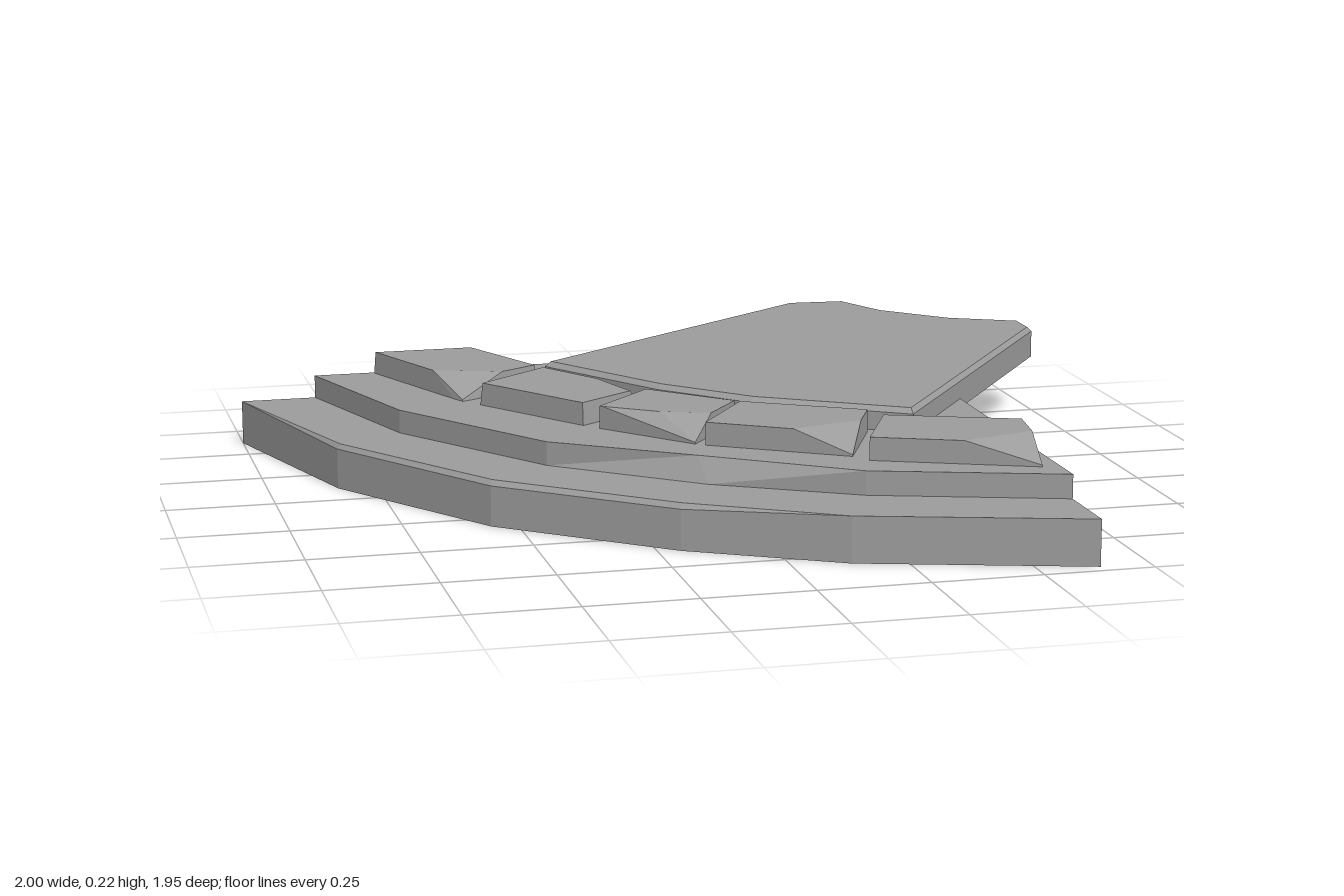
import * as THREE from 'three';
import { ConvexGeometry } from 'three/addons/geometries/ConvexGeometry.js';

const V = (x, y, z) => new THREE.Vector3(x, y, z);
const atHeight = (outline, y) => outline.map(([x, z]) => V(x, y, z));

// Triangle soup with flat normals
function soup(tris) {
  const geometry = new THREE.BufferGeometry().setFromPoints(tris);
  geometry.computeVertexNormals();
  return geometry;
}

// Faces joining one outline to the next, optionally closed into a loop
function strips(rows, closed) {
  const out = [];
  for (let k = 0; k < rows.length - 1; k++) {
    const a = rows[k], b = rows[k + 1], n = a.length;
    for (let i = 0; i < (closed ? n : n - 1); i++) {
      const j = (i + 1) % n;
      out.push(a[i], a[j], b[j], a[i], b[j], b[i]);
    }
  }
  return out;
}

// Flat polygon, counterclockwise in the given 2D projection
function cap(points, project) {
  const flat = points.map((p) => new THREE.Vector2(...project(p)));
  return THREE.ShapeUtils.triangulateShape(flat, []).flat().map((i) => points[i]);
}
const fromAbove = (p) => [p.x, -p.z];

// Outline scaled about a centre point
const shrink = (outline, [cx, cz], s) => outline.map(([x, z]) => [cx + (x - cx) * s, cz + (z - cz) * s]);

// Four-cornered stone with one corner of its top broken down
function stoneGeometry({ corners, chip, cuts, taper = 1, ridge = [] }) {
  const centre = [0, 1].map((axis) => corners.reduce((sum, c) => sum + c[axis] / 4, 0));
  const top = atHeight(shrink(corners, centre, taper), 0.213);
  const points = [...atHeight(corners, 0.137), ...atHeight(ridge, 0.213)];
  top.forEach((p, i) => {
    if (i !== chip) return points.push(p);
    points.push(p.clone().lerp(top[(i + 3) % 4], cuts[0]));
    points.push(p.clone().lerp(top[(i + 1) % 4], cuts[1]));
    points.push(p.clone().setY(0.164));
  });
  return new ConvexGeometry(points);
}

export function createModel() {
  const model = new THREE.Group();
  const stone = new THREE.MeshStandardMaterial({ color: 0x9c9c9c, flatShading: true });
  const shell = stone.clone();
  shell.side = THREE.DoubleSide;
  const add = (name, geometry, material = stone) => {
    const mesh = new THREE.Mesh(geometry, material);
    mesh.name = name;
    model.add(mesh);
  };

  // Two stepped risers, left end to right end, hollow underneath, with worn edges
  const outer = [[-1, -0.62], [-0.84, -0.11], [-0.56, 0.32], [-0.2, 0.625], [0.13, 0.815], [0.637, 0.97]];
  const outerWorn = [[-1, -0.62], [-0.832, -0.113], [-0.553, 0.312], [-0.195, 0.616], [0.13, 0.815], [0.637, 0.97]];
  const inner = [[-0.82, -0.62], [-0.68, -0.19], [-0.41, 0.21], [-0.1, 0.47], [0.21, 0.65], [0.637, 0.79]];
  const innerWorn = inner.map((p, i) => (i === 3 ? [-0.11, 0.42] : p));
  const lip = [0.105, 0.094, 0.093, 0.093, 0.105, 0.105];
  const rows = [
    atHeight(outer, 0),
    outer.map(([x, z], i) => V(x, lip[i], z)),
    atHeight(outerWorn, 0.105),
    atHeight(inner, 0.105),
    atHeight(innerWorn, 0.16),
  ];
  const cornerTop = V(0.637, 0.16, -0.62), cornerBottom = V(0.637, 0, -0.62);
  add('steps', soup(strips(rows, false)), shell);
  add('upperTread', soup(cap([...rows[4], cornerTop], fromAbove)), shell);

  // Straight walls that meet at the back corner
  const profile = (end) => [0, 2, 3, 4].map((k) => rows[k][end]).concat(cornerTop, cornerBottom);
  add('backWall', soup(cap(profile(0), (p) => [-p.x, p.y])), shell);
  add('sideWall', soup(cap(profile(5).reverse(), (p) => [-p.z, p.y])), shell);

  // Slab with a notched far end and a chamfered top edge
  const slab = [[-0.29, -0.39], [-0.085, -0.07], [0.095, 0.12], [0.42, 0.325], [1, -0.51],
    [1, -0.595], [0.84, -0.675], [0.695, -0.82], [0.63, -0.965], [0.49, -0.975]];
  const inset = shrink(slab, [0.4, -0.37], 0.978);
  const rings = [atHeight(slab, 0.137), atHeight(slab, 0.203), atHeight(inset, 0.215)];
  add('slab', soup([
    ...strips(rings, true),
    ...cap(rings[2], fromAbove),
    ...cap(rings[0], fromAbove).reverse(),
  ]));

  // Curved row of worn stones
  const stones = [
    { corners: [[-0.675, -0.615], [-0.52, -0.24], [-0.315, -0.365], [-0.43, -0.615]], chip: 1, cuts: [0.33, 0.55], taper: 0.97 },
    { corners: [[-0.305, -0.345], [-0.487, -0.2], [-0.295, 0.075], [-0.12, -0.05]], chip: 3, cuts: [0.2, 0.45], taper: 0.96 },
    { corners: [[-0.12, -0.04], [-0.265, 0.11], [-0.09, 0.315], [0.05, 0.13]], chip: 2, cuts: [0.97, 0.4], ridge: [[-0.145, 0.2]] },
    { corners: [[0.06, 0.14], [-0.07, 0.33], [0.22, 0.515], [0.32, 0.295]], chip: 2, cuts: [0.4, 0.55] },
    { corners: [[0.34, 0.355], [0.245, 0.56], [0.595, 0.71], [0.63, 0.47]], chip: 2, cuts: [0.45, 0.5] },
  ];
  stones.forEach((s, i) => add(`edgeStone${i + 1}`, stoneGeometry(s)));

  return model;
}
